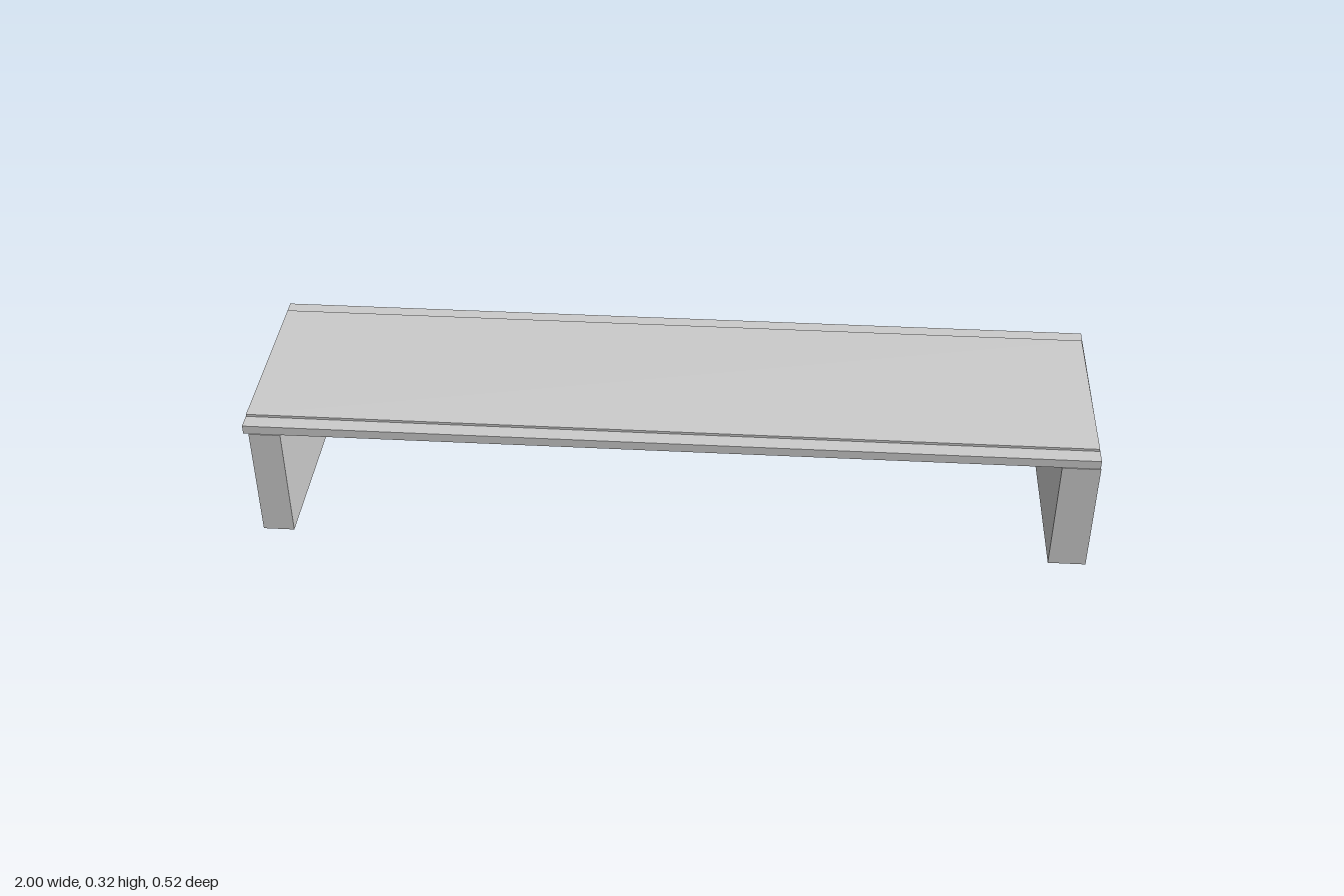
import * as THREE from 'three';

const material = new THREE.MeshStandardMaterial({ color: 0xcccccc, flatShading: true });

// Prism standing on y0, with its plan given as [x, z] corners
function prism(name, plan, y0, y1) {
  const shape = new THREE.Shape(plan.map(([x, z]) => new THREE.Vector2(x, -z)));
  const geometry = new THREE.ExtrudeGeometry(shape, { depth: y1 - y0, bevelEnabled: false });
  geometry.rotateX(-Math.PI / 2).translate(0, y0, 0);
  const mesh = new THREE.Mesh(geometry, material);
  mesh.name = name;
  return mesh;
}

export function createModel() {
  const group = new THREE.Group();
  group.name = 'bench';

  // Long board resting on the two legs
  group.add(prism('topBoard', [[-0.998, 0.258], [0.998, 0.258], [1, -0.26], [-1, -0.26]], 0.288, 0.31));

  // Thin raised panel, set back from the front and rear edges
  group.add(prism('raisedPanel', [[-0.997, 0.22], [0.997, 0.22], [0.997, -0.22], [-0.997, -0.22]], 0.31, 0.316));

  // Slab legs; the right one tapers slightly toward the front
  group.add(prism('leftLeg', [[0.91, 0.26], [0.999, 0.26], [0.999, -0.257], [0.91, -0.257]], 0, 0.288));
  group.add(prism('rightLeg', [[-0.985, 0.26], [-0.91, 0.26], [-0.91, -0.258], [-0.999, -0.258]], 0, 0.288));

  return group;
}
